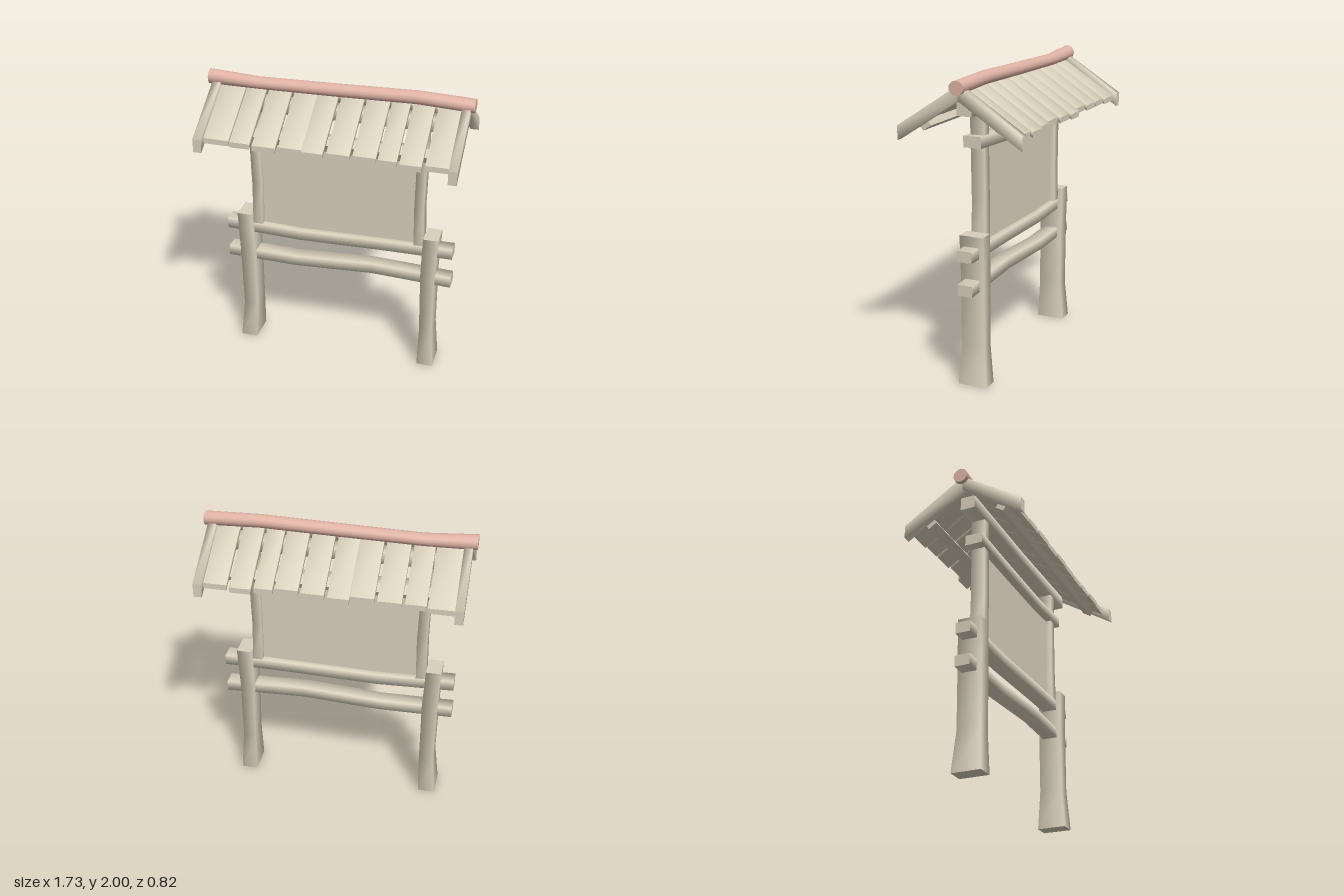
import * as THREE from 'three';

const wood = new THREE.MeshStandardMaterial({ color: 0xd8cfbb });
wood.name = 'pale wood';
const clay = new THREE.MeshStandardMaterial({ color: 0xe0b3a4 });
clay.name = 'pink ridge';

// Hand-hewn timber: a loft along an axis, smooth round the sides, flat at the ends.
// Each section is [t, a, b, halfA, halfB]; (a, b) is (y, z), (z, x) or (x, y) for axis x, y or z.
function timber(name, axis, sections, material = wood, sides = 4) {
  const pos = [], index = [];
  const shift = { x: 0, y: 1, z: 2 }[axis];
  const push = (t, a, b) => {
    const v = [];
    [t, a, b].forEach((c, k) => { v[(k + shift) % 3] = c; });
    pos.push(...v);
  };
  const scale = sides === 4 ? Math.SQRT2 : 1;
  const ring = ([t, a, b, ha, hb]) => {
    const start = pos.length / 3;
    for (let i = 0; i < sides; i++) {
      const ang = ((i + 0.5) / sides) * Math.PI * 2;
      push(t, a + Math.cos(ang) * ha * scale, b + Math.sin(ang) * hb * scale);
    }
    return start;
  };
  const rings = sections.map(ring);
  for (let r = 0; r + 1 < rings.length; r++) {
    for (let i = 0; i < sides; i++) {
      const j = (i + 1) % sides, p = rings[r], q = rings[r + 1];
      index.push(p + i, p + j, q + j, p + i, q + j, q + i);
    }
  }
  const first = ring(sections[0]), last = ring(sections[sections.length - 1]);
  for (let i = 1; i + 1 < sides; i++) {
    index.push(first, first + i + 1, first + i, last, last + i, last + i + 1);
  }
  const geo = new THREE.BufferGeometry();
  geo.setAttribute('position', new THREE.Float32BufferAttribute(pos, 3));
  geo.setIndex(index);
  geo.computeVertexNormals();
  const mesh = new THREE.Mesh(geo, material);
  mesh.name = name;
  return mesh;
}

export function createModel() {
  const model = new THREE.Group();
  model.name = 'noticeBoard';

  // Flared ground posts
  model.add(timber('rightPost', 'y', [
    [0, 0, -0.65, 0.098, 0.058], [0.27, 0, -0.633, 0.08, 0.048],
    [0.72, 0, -0.637, 0.08, 0.052], [1, 0, -0.65, 0.08, 0.05]]));
  model.add(timber('leftPost', 'y', [
    [0, 0, 0.645, 0.098, 0.055], [0.27, 0, 0.637, 0.08, 0.043],
    [0.72, 0, 0.632, 0.08, 0.047], [1, 0, 0.642, 0.08, 0.05]]));

  // Upper posts that carry the roof
  model.add(timber('rightUpperPost', 'y', [
    [0.88, 0, -0.565, 0.05, 0.033], [1.22, 0, -0.56, 0.047, 0.034],
    [1.6, 0, -0.57, 0.047, 0.032], [1.84, 0, -0.57, 0.05, 0.032]]));
  model.add(timber('leftUpperPost', 'y', [
    [0.88, 0, 0.558, 0.05, 0.033], [1.2, 0, 0.55, 0.047, 0.031],
    [1.6, 0, 0.557, 0.047, 0.032], [1.84, 0, 0.557, 0.05, 0.032]]));

  // Wavy rails and beams
  model.add(timber('upperRail', 'x', [
    [-0.785, 0.895, 0, 0.036, 0.05], [-0.27, 0.877, 0, 0.037, 0.05],
    [0.3, 0.89, 0, 0.036, 0.05], [0.785, 0.895, 0, 0.036, 0.05]]));
  model.add(timber('lowerRail', 'x', [
    [-0.785, 0.675, 0, 0.036, 0.05], [-0.3, 0.667, 0, 0.036, 0.05],
    [0.24, 0.697, 0, 0.037, 0.05], [0.785, 0.675, 0, 0.036, 0.05]]));
  model.add(timber('crossBeam', 'x', [
    [-0.665, 1.586, 0, 0.036, 0.06], [-0.3, 1.577, 0, 0.036, 0.058],
    [0.3, 1.567, 0, 0.036, 0.058], [0.66, 1.586, 0, 0.036, 0.06]]));
  model.add(timber('ridgeBeam', 'x', [
    [-0.76, 1.805, 0, 0.045, 0.05], [0, 1.8, 0, 0.04, 0.05], [0.76, 1.805, 0, 0.045, 0.05]]));

  // Notice panel
  const panel = new THREE.Mesh(new THREE.BoxGeometry(1.09, 0.69, 0.02), wood);
  panel.name = 'panel';
  panel.position.set(0, 1.225, 0);
  model.add(panel);

  // Roof: height of the slope at a given z
  const slope = 0.646;
  const roofY = (z) => 1.91 - slope * Math.abs(z);
  const slat = (name, x0, x1, z, drop, half) => {
    const ends = z < 0 ? [z, 0] : [0, z];
    return timber(name, 'z', ends.map((e) =>
      [e, (x0 + x1) / 2, roofY(e) - drop, (x1 - x0) / 2, half]));
  };
  const roof = new THREE.Group();
  roof.name = 'roof';

  // Each plank: x start, x end, back edge, front edge
  const planks = [
    [-0.785, -0.62, -0.38, 0.365], [-0.61, -0.48, -0.37, 0.37], [-0.46, -0.31, -0.37, 0.375],
    [-0.29, -0.14, -0.36, 0.365], [-0.138, -0.003, -0.38, 0.375], [0.02, 0.165, -0.37, 0.365],
    [0.185, 0.33, -0.36, 0.36], [0.345, 0.46, -0.37, 0.365], [0.48, 0.615, -0.38, 0.375],
    [0.637, 0.785, -0.37, 0.365]];
  for (const [x0, x1, back, front] of planks) {
    roof.add(slat('backPlank', x0, x1, back, 0.01, 0.018));
    roof.add(slat('frontPlank', x0, x1, front, 0.01, 0.018));
  }

  // Gable rafters and purlins on both slopes
  for (const side of [-1, 1]) {
    for (const x of [-0.812, 0.812]) {
      roof.add(slat('rafter', x - 0.027, x + 0.027, side * 0.412, 0, 0.045));
    }
    const purlin = new THREE.Mesh(new THREE.BoxGeometry(1.57, 0.045, 0.065), wood);
    purlin.name = 'purlin';
    purlin.position.set(0, 1.695, side * 0.25);
    purlin.rotation.x = side * Math.atan(slope);
    roof.add(purlin);
  }

  // Round ridge pole
  roof.add(timber('ridgePole', 'x', [
    [-0.867, 1.95, -0.004, 0.049, 0.049], [-0.53, 1.937, -0.008, 0.04, 0.045],
    [0, 1.946, -0.006, 0.042, 0.045], [0.5, 1.957, -0.006, 0.043, 0.045],
    [0.865, 1.943, -0.002, 0.044, 0.048]], clay, 16));
  model.add(roof);
  return model;
}
